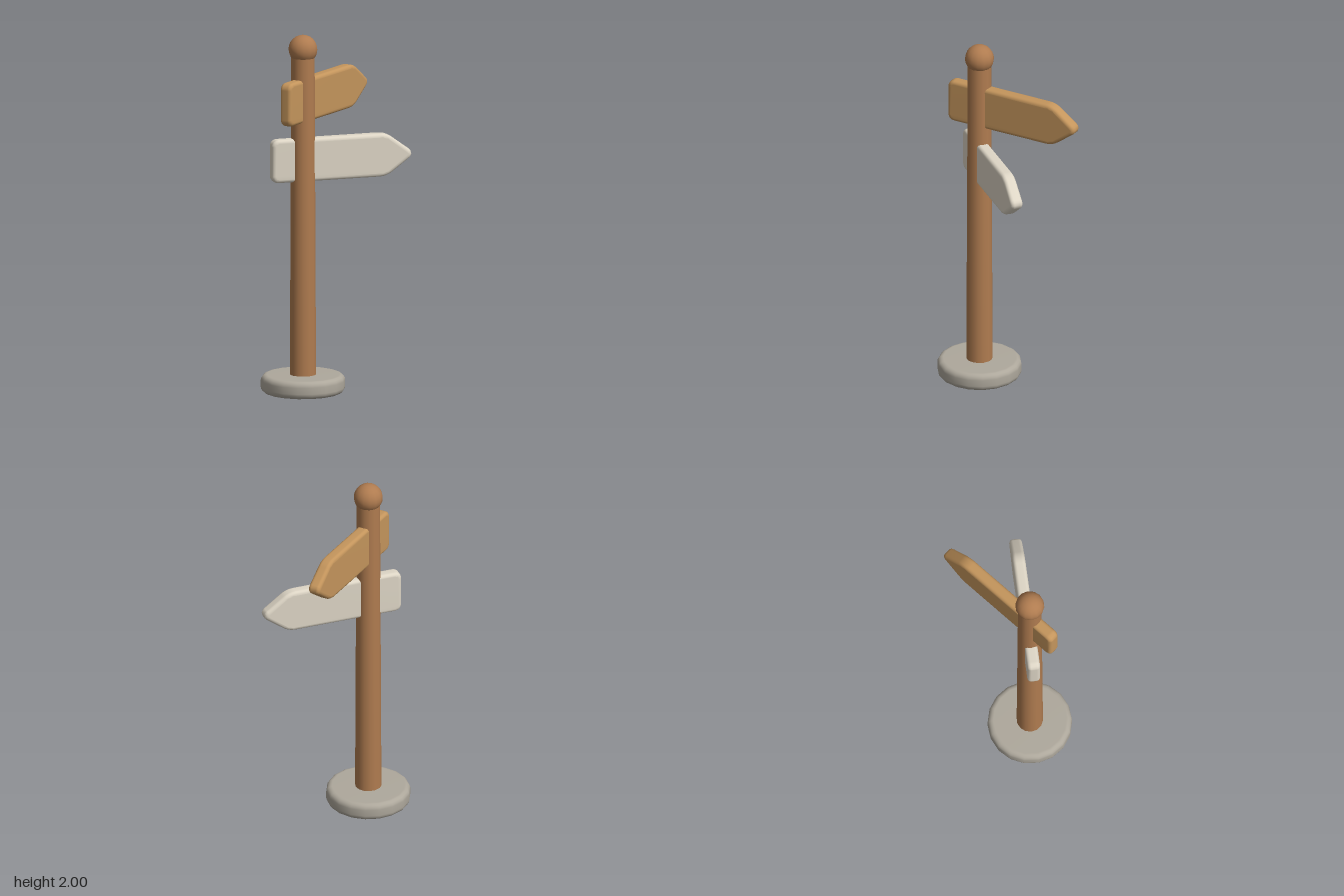
import * as THREE from 'three';
import { mergeVertices } from 'three/addons/utils/BufferGeometryUtils.js';

const material = (color) => new THREE.MeshStandardMaterial({ color, roughness: 0.9 });

// Weld a geometry so its rounded edges shade smoothly
function smooth(geometry) {
  geometry.deleteAttribute('normal');
  geometry.deleteAttribute('uv');
  const welded = mergeVertices(geometry, 1e-4);
  welded.computeVertexNormals();
  return welded;
}

// Closed outline whose corners [x, y, cut] are rounded
function roundedShape(corners) {
  const shape = new THREE.Shape();
  const n = corners.length;
  corners.forEach(([x, y, cut], i) => {
    const p = new THREE.Vector2(x, y);
    const toward = ([qx, qy]) => new THREE.Vector2(qx, qy).sub(p).setLength(cut).add(p);
    const a = toward(corners[(i + n - 1) % n]);
    const b = toward(corners[(i + 1) % n]);
    if (i === 0) shape.moveTo(a.x, a.y);
    else shape.lineTo(a.x, a.y);
    shape.quadraticCurveTo(x, y, b.x, b.y);
  });
  shape.closePath();
  return shape;
}

// Pointed board with softly rounded edges, local x runs toward the tip
function arrowBoard() {
  const bevel = 0.02, depth = 0.03, h = 0.101;
  const shape = roundedShape([
    [-0.165, -h, 0.02], [0.468, -h, 0.035], [0.605, 0, 0.02],
    [0.468, h, 0.035], [-0.165, h, 0.02],
  ]);
  const geometry = new THREE.ExtrudeGeometry(shape, {
    depth, bevelEnabled: true, bevelThickness: bevel, bevelSize: bevel,
    bevelSegments: 4, curveSegments: 4,
  });
  geometry.translate(0, 0, -depth / 2);
  return smooth(geometry);
}

// Round slab with rounded rims
function baseSlab(radius, height, rim) {
  const points = [new THREE.Vector2(0, 0)];
  for (const [cy, start] of [[rim, -Math.PI / 2], [height - rim, 0]]) {
    for (let i = 0; i <= 4; i++) {
      const a = start + (i / 4) * (Math.PI / 2);
      points.push(new THREE.Vector2(radius - rim + rim * Math.cos(a), cy + rim * Math.sin(a)));
    }
  }
  points.push(new THREE.Vector2(0, height));
  return smooth(new THREE.LatheGeometry(points, 18).rotateY(Math.PI / 2));
}

export function createModel() {
  const model = new THREE.Group();
  model.name = 'signpost';

  // Everything is arranged around the post axis
  const post = new THREE.Group();
  post.name = 'postAssembly';
  post.position.set(-0.19, 0, -0.03);
  model.add(post);

  const add = (name, geometry, mat, y, turn = 0) => {
    const mesh = new THREE.Mesh(geometry, mat);
    mesh.name = name;
    mesh.position.y = y;
    mesh.rotation.y = THREE.MathUtils.degToRad(turn);
    post.add(mesh);
  };

  const wood = material(0xb07c50);

  // Base, tapered pole and ball finial
  add('base', baseSlab(0.232, 0.1, 0.032), material(0xaea89c), 0);
  add('pole', new THREE.CylinderGeometry(0.065, 0.073, 1.86, 14).rotateY(Math.PI / 2), wood, 0.96);
  add('finial', new THREE.SphereGeometry(0.08, 14, 12), wood, 1.92);

  // Two arrow boards pointing different ways
  const board = arrowBoard();
  add('upperSign', board, material(0xc4955c), 1.636, 15);
  add('lowerSign', board, material(0xded6c6), 1.303, -25);

  return model;
}
